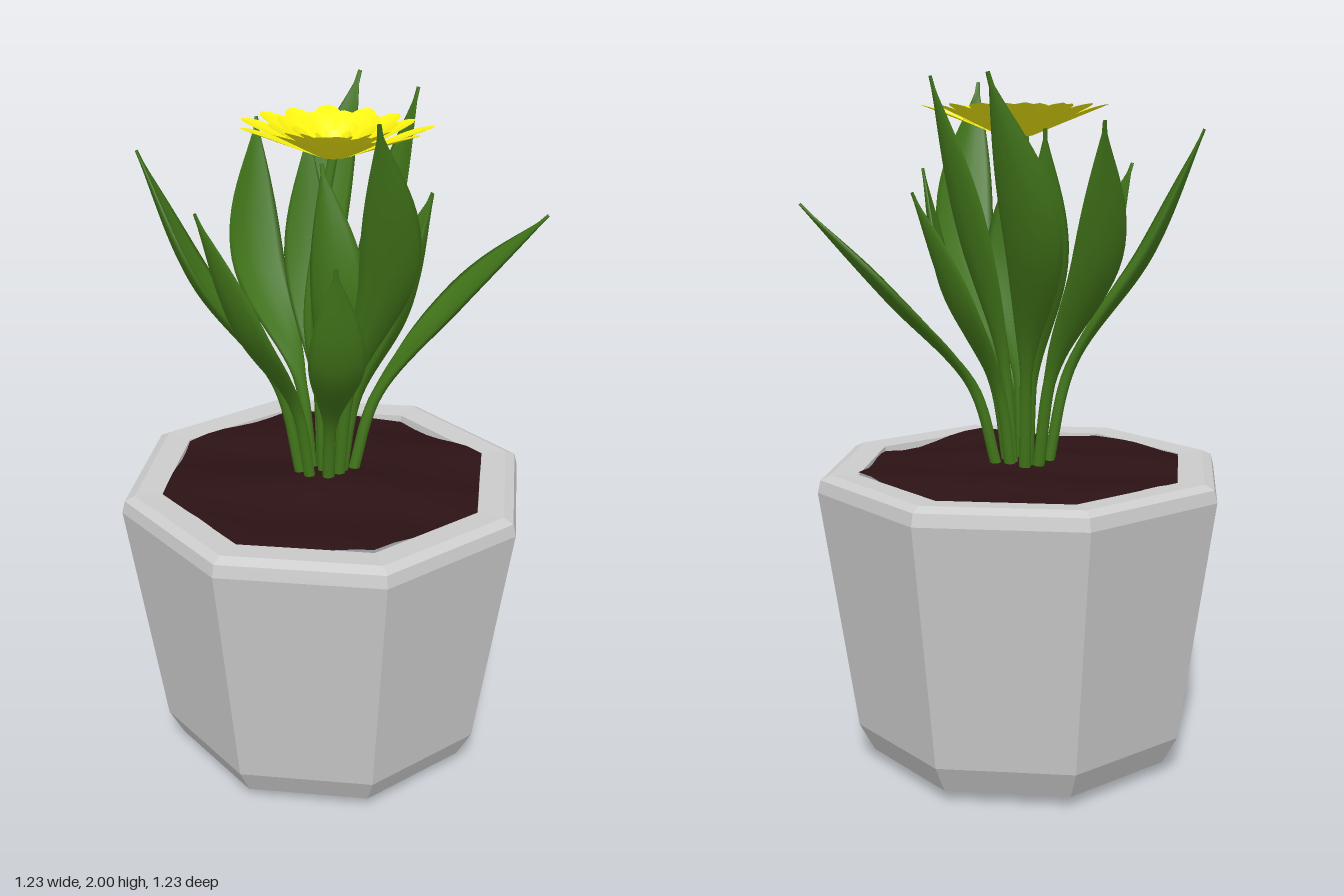
import * as THREE from 'three';

const leafMat = new THREE.MeshStandardMaterial({ color: 0x42761a, side: THREE.DoubleSide });
const petalMat = new THREE.MeshStandardMaterial({ color: 0xfaf210, side: THREE.DoubleSide });
const soilMat = new THREE.MeshStandardMaterial({ color: 0x2c1214, side: THREE.DoubleSide });
const potMat = new THREE.MeshStandardMaterial({ color: 0xcccccc, flatShading: true });
const ROOT_Y = 0.87;

function add(parent, name, geometry, material) {
  const mesh = new THREE.Mesh(geometry, material);
  mesh.name = name;
  parent.add(mesh);
  return mesh;
}

// Centre line from a root near the middle, through the belly, to the tip
function stalkCurve(belly, tip) {
  const [x, y, z] = belly;
  return new THREE.CatmullRomCurve3([
    new THREE.Vector3(x * 0.2, ROOT_Y, z * 0.2),
    new THREE.Vector3(x * 0.4, (ROOT_Y + y) / 2, z * 0.4),
    new THREE.Vector3(x, y, z),
    new THREE.Vector3(...tip),
  ], false, 'centripetal');
}

// Thin cupped blade on a slender stalk, lofted along a curve
function leafGeometry(curve, halfWidth) {
  const rows = 32, sides = 10, pos = [], idx = [];
  const lean = curve.getPoint(1).sub(curve.getPoint(0));
  const across = new THREE.Vector3(lean.z, 0, -lean.x).normalize();
  for (let i = 0; i <= rows; i++) {
    const t = i / rows;
    const c = curve.getPointAt(t), T = curve.getTangentAt(t);
    const S = across.clone().addScaledVector(T, -across.dot(T)).normalize();
    const N = T.clone().cross(S);
    const b = Math.max(0, (t - 0.25) / 0.75);
    const blade = Math.pow(Math.max(0, Math.sin(Math.PI * Math.pow(b, 1.1))), 1.2);
    const stalk = 0.018 * (1 - b);
    const w = Math.max(0.006, stalk + halfWidth * blade);
    const thick = 0.004 + stalk * 0.7;
    for (let j = 0; j < sides; j++) {
      const a = (j / sides) * Math.PI * 2, u = Math.cos(a);
      const p = c.clone().addScaledVector(S, u * w)
        .addScaledVector(N, Math.sin(a) * thick + 0.4 * (u * u - 0.4) * halfWidth * blade);
      pos.push(p.x, p.y, p.z);
      if (i < rows) {
        const k = i * sides + j, n = i * sides + ((j + 1) % sides);
        idx.push(k, n, k + sides, n, n + sides, k + sides);
      }
    }
  }
  const g = new THREE.BufferGeometry();
  g.setAttribute('position', new THREE.Float32BufferAttribute(pos, 3));
  g.setIndex(idx);
  g.computeVertexNormals();
  return g;
}

// Blunt petal running outward along +z, rising by a given height
function petalGeometry(inner, outer, rise, halfWidth) {
  const g = new THREE.PlaneGeometry(2, 1, 6, 14);
  const p = g.attributes.position;
  for (let i = 0; i < p.count; i++) {
    const u = p.getX(i), v = 0.5 - p.getY(i);
    const bow = Math.max(0, Math.sin(Math.PI * Math.pow(v, 1.8)));
    const w = halfWidth * (0.18 * (1 - v) + Math.pow(bow, 0.55));
    p.setXYZ(i, u * w, rise * v + 0.006 * u * u * bow, inner + (outer - inner) * v);
  }
  g.computeVertexNormals();
  return g;
}

// Uneven soil filling the eight-sided opening
function soilGeometry() {
  const g = new THREE.RingGeometry(0.001, 0.495, 48, 12);
  g.rotateX(-Math.PI / 2);
  const p = g.attributes.position, q = Math.PI / 4;
  for (let i = 0; i < p.count; i++) {
    const x = p.getX(i), z = p.getZ(i), r = Math.hypot(x, z);
    const a = ((Math.atan2(z, x) % q) + q) % q;
    const k = Math.cos(q / 2) / Math.cos(a - q / 2);
    const bump = 0.012 * Math.sin(9 * x + 1) * Math.cos(8 * z) + 0.008 * Math.sin(17 * z + 6 * x);
    p.setXYZ(i, x * k, 0.892 + bump - 0.015 * (r / 0.5) ** 4, z * k);
  }
  g.computeVertexNormals();
  return g;
}

export function createModel() {
  const model = new THREE.Group();
  model.name = 'pottedFlower';

  // Eight-sided pot with bevelled foot and rim
  const profile = [[0, 0], [0.37, 0], [0.465, 0.035], [0.51, 0.12], [0.614, 0.84], [0.605, 0.876],
    [0.575, 0.89], [0.495, 0.885], [0.485, 0.8]].map(([r, y]) => new THREE.Vector2(r, y));
  add(model, 'pot', new THREE.LatheGeometry(profile, 8), potMat);
  add(model, 'soil', soilGeometry(), soilMat);

  // Leaves: belly, tip, half width
  const leaves = [
    [[0.28, 1.4, -0.28], [0.5, 1.655, -0.39], 0.075],
    [[-0.3, 1.51, 0.2], [-0.45, 1.86, 0.25], 0.08],
    [[-0.09, 1.42, 0.29], [-0.16, 1.76, 0.4], 0.075],
    [[0.23, 1.55, 0.05], [0.27, 2, 0.21], 0.08],
    [[0.16, 1.33, 0.22], [0.2, 1.64, 0.3], 0.07],
    [[0.07, 1.48, 0.07], [0.02, 1.84, 0.06], 0.075],
    [[-0.16, 1.57, -0.25], [-0.12, 2, -0.41], 0.075],
    [[0.09, 1.56, -0.15], [0.14, 2, -0.27], 0.07],
    [[0.09, 1.38, -0.22], [0.165, 1.69, -0.33], 0.06],
    [[-0.28, 1.5, -0.07], [-0.35, 1.88, -0.2], 0.075],
    [[-0.14, 1.5, -0.13], [-0.18, 1.86, -0.21], 0.06],
    [[0.2, 1.42, -0.1], [0.27, 1.75, -0.11], 0.065],
  ];
  leaves.forEach(([belly, tip, w], i) =>
    add(model, `leaf${i + 1}`, leafGeometry(stalkCurve(belly, tip), w), leafMat));

  // Flower stem
  const stem = stalkCurve([-0.03, 1.4, 0.05], [0, 1.85, -0.04]);
  add(model, 'flowerStem', new THREE.TubeGeometry(stem, 24, 0.014, 8), leafMat);

  // Shallow flower head: rings of petals from outside to centre
  const flower = new THREE.Group();
  flower.name = 'flower';
  flower.position.set(0.005, 1.84, -0.035);
  model.add(flower);
  // Each ring: count, inner radius, outer radius, rise, half width, turn
  const rings = [
    [14, 0.04, 0.28, 0.088, 0.038, 0.1],
    [10, 0.03, 0.2, 0.088, 0.042, 0.3],
    [7, 0.02, 0.125, 0.075, 0.034, 0.5],
    [5, 0.01, 0.06, 0.06, 0.02, 0.1],
  ];
  rings.forEach(([count, inner, outer, rise, w, turn], r) => {
    for (let i = 0; i < count; i++) {
      const angle = (i / count) * Math.PI * 2 + turn + 0.07 * Math.sin(i * 5 + r);
      const length = outer * (1 - 0.035 * ((i * 7 + r) % 4) - 0.15 * Math.cos(angle) ** 2);
      const petal = add(flower, `petalRing${r + 1}`, petalGeometry(inner, length, rise, w), petalMat);
      petal.rotation.y = angle;
    }
  });
  return model;
}
